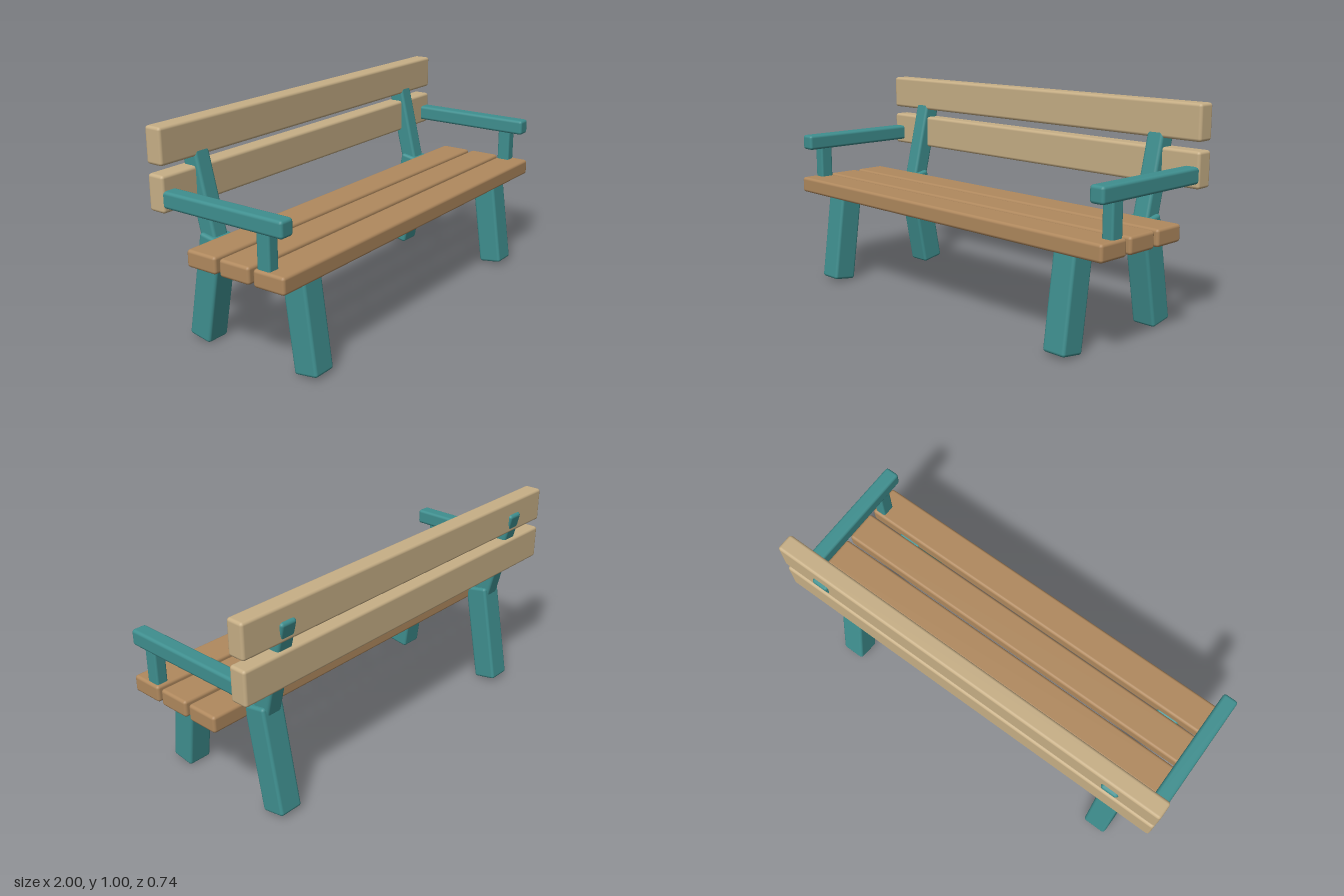
import * as THREE from 'three';
import { RoundedBoxGeometry } from 'three/addons/geometries/RoundedBoxGeometry.js';

const teal = new THREE.MeshStandardMaterial({ color: 0x3f8f8f });
const seatWood = new THREE.MeshStandardMaterial({ color: 0xb0895e });
const backWood = new THREE.MeshStandardMaterial({ color: 0xc7af86 });

// Soft-edged box from its size and centre
function block(name, material, [w, h, d], [x, y, z], r = 0.014) {
  const mesh = new THREE.Mesh(new RoundedBoxGeometry(w, h, d, 2, r), material);
  mesh.name = name;
  mesh.position.set(x, y, z);
  return mesh;
}

// Beam leaning in the side plane, from a bottom to a top point given as [z, y]
function beam(name, x, width, depth, [z0, y0], [z1, y1]) {
  const length = Math.hypot(z1 - z0, y1 - y0);
  const mesh = block(name, teal, [width, length, depth], [x, (y0 + y1) / 2, (z0 + z1) / 2]);
  mesh.rotation.x = Math.atan2(z1 - z0, y1 - y0);
  return mesh;
}

export function createModel() {
  const bench = new THREE.Group();
  bench.name = 'bench';

  // Three seat planks
  [0.281, 0.103, -0.075].forEach((z, i) =>
    bench.add(block(`seatPlank${i + 1}`, seatWood, [2, 0.077, 0.158], [0, 0.478, z])));

  // Two backrest planks
  [0.721, 0.921].forEach((y, i) =>
    bench.add(block(`backPlank${i + 1}`, backWood, [2, 0.161, 0.086], [0, y, -0.31])));

  // Legs, back supports and arms, mirrored left and right
  for (const [side, s] of [['left', 1], ['right', -1]]) {
    bench.add(
      beam(`${side}FrontLeg`, s * 0.77, 0.118, 0.118, [0.313, 0.014], [0.249, 0.475]),
      beam(`${side}RearLeg`, s * 0.77, 0.118, 0.118, [-0.286, 0.014], [-0.194, 0.506]),
      beam(`${side}BackSupport`, s * 0.77, 0.084, 0.084, [-0.188, 0.365], [-0.329, 0.939]),
      block(`${side}Armrest`, teal, [0.072, 0.074, 0.652], [s * 0.96, 0.7, 0.026]),
      block(`${side}ArmPost`, teal, [0.056, 0.22, 0.066], [s * 0.96, 0.58, 0.248], 0.01)
    );
  }
  return bench;
}
